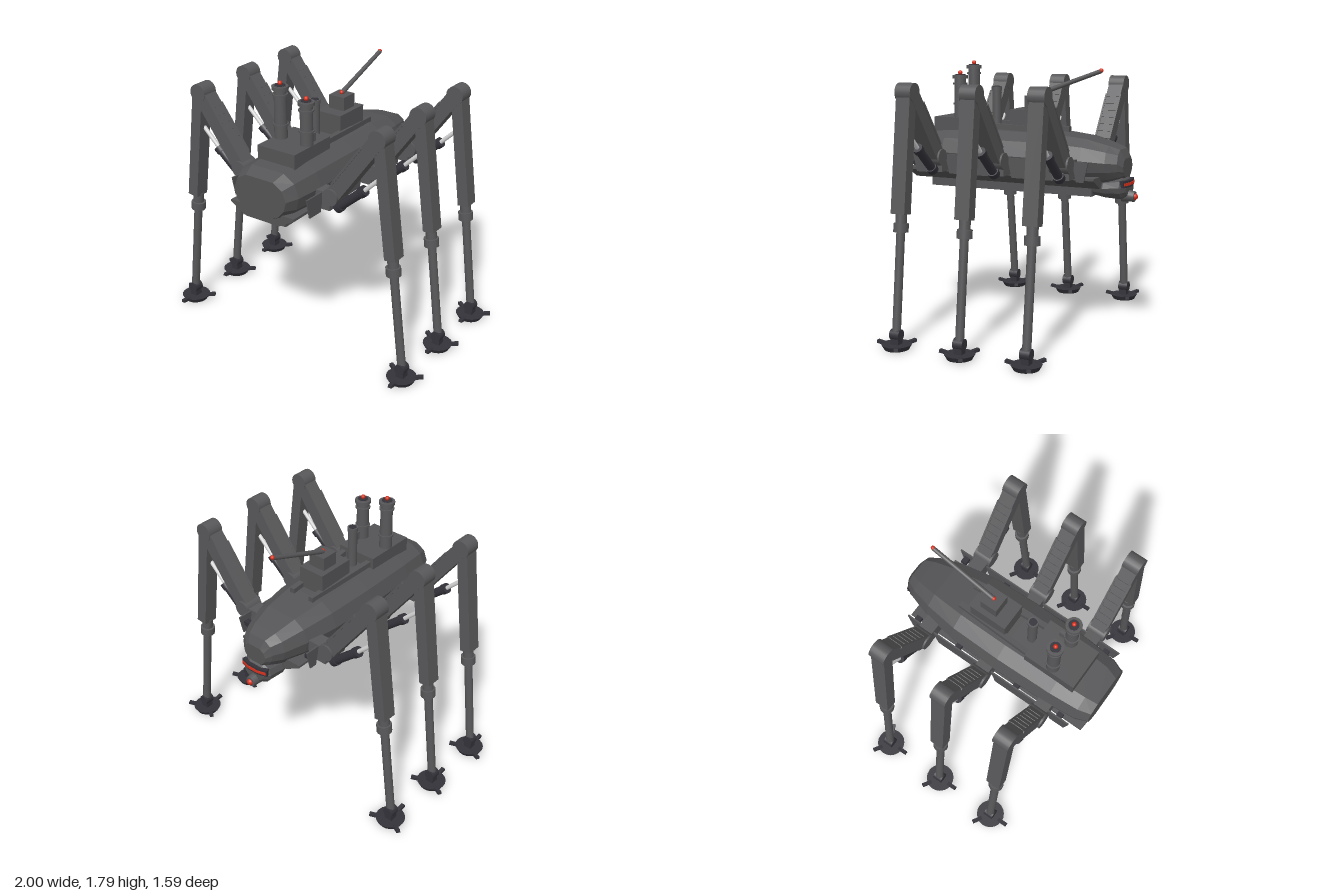
import * as THREE from 'three';

const mat = (name, color, flatShading = false) => {
  const m = new THREE.MeshStandardMaterial({ color, flatShading });
  m.name = name;
  return m;
};

export function createModel() {
  const root = new THREE.Group();
  root.name = 'sixLeggedWalker';
  const hullGrey = mat('hullGrey', 0x545456, true);
  const steel = mat('steelGrey', 0x58585a);
  const dark = mat('darkMetal', 0x34333a);
  const chrome = mat('pistonChrome', 0xd4d4d4);
  const red = mat('redLight', 0xd8301c);

  const add = (parent, name, geo, m, x = 0, y = 0, z = 0) => {
    const mesh = new THREE.Mesh(geo, m);
    mesh.name = name;
    mesh.position.set(x, y, z);
    parent.add(mesh);
    return mesh;
  };
  // Axis-aligned block given by its limits
  const block = (parent, name, m, x0, x1, y0, y1, z0, z1) =>
    add(parent, name, new THREE.BoxGeometry(x1 - x0, y1 - y0, z1 - z0), m,
      (x0 + x1) / 2, (y0 + y1) / 2, (z0 + z1) / 2);
  // Round rod between two points
  const rod = (parent, name, m, a, b, r, r2 = r, sides = 16) => {
    const p = new THREE.Vector3(...a), q = new THREE.Vector3(...b);
    const d = q.clone().sub(p);
    const mesh = add(parent, name, new THREE.CylinderGeometry(r2, r, d.length(), sides), m);
    mesh.position.copy(p).add(q).multiplyScalar(0.5);
    mesh.quaternion.setFromUnitVectors(new THREE.Vector3(0, 1, 0), d.normalize());
    return mesh;
  };
  // Rectangular beam in the xy plane
  const beam = (parent, name, m, a, b, thick, depth) => {
    const dx = b[0] - a[0], dy = b[1] - a[1];
    const mesh = add(parent, name, new THREE.BoxGeometry(thick, Math.hypot(dx, dy), depth), m,
      (a[0] + b[0]) / 2, (a[1] + b[1]) / 2, 0);
    mesh.rotation.z = Math.atan2(-dx, dy);
    return mesh;
  };
  // Loft of one unit outline through sections [z, halfWidth, bottom, top], front to back
  const loft = (outline, sections) => {
    const n = outline.length, pos = [], idx = [];
    for (const [z, w, y0, y1] of sections)
      for (const [u, v] of outline) pos.push(u * w, (y0 + y1) / 2 + v * (y1 - y0) / 2, z);
    const last = (sections.length - 1) * n;
    for (let j = 0; j < n; j++) {
      const k = (j + 1) % n;
      for (let i = 0; i < last; i += n)
        idx.push(i + j, i + n + j, i + k, i + k, i + n + j, i + n + k);
      if (j > 0 && j < n - 1) idx.push(0, j, j + 1, last, last + j + 1, last + j);
    }
    const g = new THREE.BufferGeometry();
    g.setAttribute('position', new THREE.Float32BufferAttribute(pos, 3));
    g.setIndex(idx);
    g.computeVertexNormals();
    return g;
  };
  const outline = [[1, 0.1], [0.86, 0.66], [0.52, 0.97], [-0.52, 0.97], [-0.86, 0.66], [-1, 0.1],
    [-0.92, -0.4], [-0.7, -0.8], [-0.45, -1], [0.45, -1], [0.7, -0.8], [0.92, -0.4]];

  // Hull
  add(root, 'hull', loft(outline, [
    [0.785, 0.2, 1.04, 1.29], [0.7, 0.235, 1.01, 1.325], [0.5, 0.255, 1.0, 1.34],
    [0.1, 0.265, 1.0, 1.345], [-0.25, 0.255, 1.0, 1.34], [-0.48, 0.215, 1.01, 1.315],
    [-0.63, 0.165, 1.03, 1.275], [-0.7, 0.125, 1.05, 1.25], [-0.73, 0.09, 1.07, 1.19]]), hullGrey);

  // Belly tray and keel
  const tray = new THREE.Shape([[-0.13, 0.995], [0.13, 0.995], [0.245, 1.06], [0.245, 1.075],
    [-0.245, 1.075], [-0.245, 1.06]].map(p => new THREE.Vector2(...p)));
  add(root, 'bellyTray', new THREE.ExtrudeGeometry(tray, { depth: 1.36, bevelEnabled: false }),
    hullGrey, 0, 0, -0.59);
  block(root, 'keel', hullGrey, -0.1, 0.1, 0.935, 1.0, -0.52, 0.665);

  // Head with visor and eye at the rear end
  add(root, 'head', loft(outline, [
    [-0.49, 0.08, 0.945, 1.02], [-0.6, 0.12, 0.93, 1.05], [-0.71, 0.115, 0.925, 1.07],
    [-0.745, 0.08, 0.95, 1.04]]), hullGrey);
  for (const s of [-1, 0, 1]) {
    const v = block(root, 'visor', dark, -0.036, 0.036, 1.005, 1.05, -0.755, -0.725);
    const l = block(root, 'visorLight', red, -0.033, 0.033, 1.018, 1.036, -0.76, -0.752);
    for (const m of [v, l]) {
      m.position.x = s * 0.067;
      m.position.z += Math.abs(s) * 0.008;
      m.rotation.y = s * -0.25;
    }
  }
  rod(root, 'eyeSocket', steel, [0, 0.945, -0.7], [0, 0.94, -0.782], 0.045, 0.034);
  add(root, 'eye', new THREE.SphereGeometry(0.022, 14, 10), red, 0, 0.94, -0.78);

  // Front deck with two funnels
  block(root, 'frontDeck', hullGrey, -0.143, 0.143, 1.28, 1.415, 0.25, 0.617);
  for (const [x, top] of [[-0.1, 1.76], [0.1, 1.7]]) {
    const funnel = new THREE.Group();
    funnel.name = 'funnel';
    funnel.position.set(x, 0, 0.435);
    root.add(funnel);
    rod(funnel, 'funnelPipe', steel, [0, 1.4, 0], [0, top, 0], 0.043, 0.039, 20);
    rod(funnel, 'funnelCap', steel, [0, top - 0.025, 0], [0, top - 0.003, 0], 0.053, 0.053, 20);
    for (const y of [1.5, top - 0.065])
      rod(funnel, 'funnelRing', steel, [0, y, 0], [0, y + 0.012, 0], 0.049, 0.049, 20);
    rod(funnel, 'funnelMouth', dark, [0, top - 0.003, 0], [0, top + 0.003, 0], 0.034);
    add(funnel, 'funnelLight', new THREE.SphereGeometry(0.015, 12, 8), red, 0, top + 0.015, 0);
  }
  beam(root, 'funnelStay', steel, [0.1, 1.41], [0.1, 1.47], 0.02, 0.1).position.z = 0.4;

  // Middle vent pipe
  rod(root, 'ventPipe', steel, [0, 1.32, 0.21], [0, 1.62, 0.21], 0.031);
  rod(root, 'ventRim', steel, [0, 1.595, 0.21], [0, 1.622, 0.21], 0.035);
  rod(root, 'ventMouth', dark, [0, 1.622, 0.21], [0, 1.625, 0.21], 0.025);

  // Turret, long barrel and deck rails
  block(root, 'turretBase', hullGrey, -0.095, 0.095, 1.32, 1.48, -0.2, 0.065);
  block(root, 'turretTop', hullGrey, -0.06, 0.06, 1.48, 1.57, -0.145, -0.025);
  rod(root, 'barrel', steel, [0, 1.575, -0.085], [0, 1.74, -0.54], 0.016, 0.014);
  for (const [y, z] of [[1.58, -0.085], [1.743, -0.54]])
    add(root, 'barrelLight', new THREE.SphereGeometry(0.014, 12, 8), red, 0, y, z);
  for (const s of [-1, 1]) {
    const rail = block(root, 'deckRail', hullGrey, -0.018, 0.018, -0.018, 0.018, -0.275, 0.275);
    rail.position.set(s * 0.092, 1.358, -0.02);
    rail.rotation.set(-0.04, s * 0.05, 0);
  }

  // Side armour plates between the legs
  for (const s of [-1, 1])
    for (const [z0, z1] of [[0.53, 0.7], [0.1, 0.45], [-0.36, -0.01], [-0.57, -0.46]]) {
      const t = 0.03;
      const plate = new THREE.Shape([[-z1 + t, 1.055], [-z0 - t, 1.055], [-z0, 1.185], [-z1, 1.185]]
        .map(p => new THREE.Vector2(...p)));
      const mesh = add(root, 'sideArmour',
        new THREE.ExtrudeGeometry(plate, { depth: 0.01, bevelEnabled: false }), hullGrey, s * 0.29 - 0.005);
      mesh.rotation.y = Math.PI / 2;
      const zc = (z0 + z1) / 2;
      block(root, 'armourBracket', dark, s * 0.265 - 0.025, s * 0.265 + 0.025, 1.11, 1.14, zc - 0.02, zc + 0.02);
    }

  // Legs
  const makeLeg = (s, z) => {
    const leg = new THREE.Group();
    leg.name = s > 0 ? 'leftLeg' : 'rightLeg';
    leg.position.z = z;
    root.add(leg);
    const P = (x, y) => [s * x, y];
    const Q = (x, y, dz = 0) => [s * x, y, dz];
    const pin = (name, m, x, y, r, half) => rod(leg, name, m, Q(x, y, -half), Q(x, y, half), r, r, 20);

    // Hip and thigh with raised ribs
    beam(leg, 'hipMount', steel, P(0.21, 1.13), P(0.35, 1.13), 0.12, 0.1);
    pin('hipJoint', steel, 0.36, 1.17, 0.055, 0.065);
    const thigh = beam(leg, 'thigh', steel, P(0.36, 1.17), P(0.685, 1.615), 0.098, 0.105);
    for (let i = 0; i < 7; i++)
      add(thigh, 'thighRib', new THREE.BoxGeometry(0.014, 0.012, 0.116), steel, -s * 0.046, -0.19 + i * 0.056, 0);
    for (const d of [-1, 1])
      add(thigh, 'thighEdge', new THREE.BoxGeometry(0.014, 0.36, 0.012), steel, -s * 0.046, -0.02, d * 0.052);
    pin('knee', steel, 0.685, 1.617, 0.06, 0.056);

    // Shin: sleeve, inner tube, collar, shaft
    beam(leg, 'shinSleeve', steel, P(0.697, 1.59), P(0.79, 0.86), 0.078, 0.1);
    rod(leg, 'shinTube', steel, Q(0.78, 0.87), Q(0.79, 0.78), 0.036);
    rod(leg, 'shinCollar', steel, Q(0.786, 0.8), Q(0.792, 0.745), 0.049);
    rod(leg, 'shinShaft', steel, Q(0.792, 0.76), Q(0.87, 0.1), 0.028);
    pin('ankle', dark, 0.87, 0.095, 0.036, 0.034);

    // Hydraulic piston
    rod(leg, 'pistonCylinder', dark, Q(0.385, 1.09), Q(0.565, 1.245), 0.029);
    rod(leg, 'pistonCollar', dark, Q(0.545, 1.228), Q(0.575, 1.254), 0.035);
    rod(leg, 'pistonFoot', dark, Q(0.375, 1.082), Q(0.405, 1.108), 0.037);
    rod(leg, 'pistonRod', chrome, Q(0.565, 1.245), Q(0.7, 1.375), 0.014);

    // Foot pad with three claws
    const foot = new THREE.Group();
    foot.name = 'foot';
    foot.position.set(s * 0.87, 0, 0);
    leg.add(foot);
    add(foot, 'footPad', new THREE.CylinderGeometry(0.098, 0.08, 0.032, 20), dark, 0, 0.018, 0);
    add(foot, 'anklePost', new THREE.BoxGeometry(0.055, 0.06, 0.055), dark, 0, 0.055, 0);
    for (let i = 0; i < 3; i++) {
      const claw = new THREE.Group();
      claw.name = 'claw';
      claw.rotation.y = i * Math.PI * 2 / 3;
      foot.add(claw);
      const toe = add(claw, 'toe', new THREE.BoxGeometry(0.026, 0.02, 0.07), dark, 0, 0.03, 0.105);
      toe.rotation.x = -0.15;
    }
  };
  for (const s of [-1, 1]) for (const z of [0.495, 0.04, -0.415]) makeLeg(s, z);

  return root;
}
